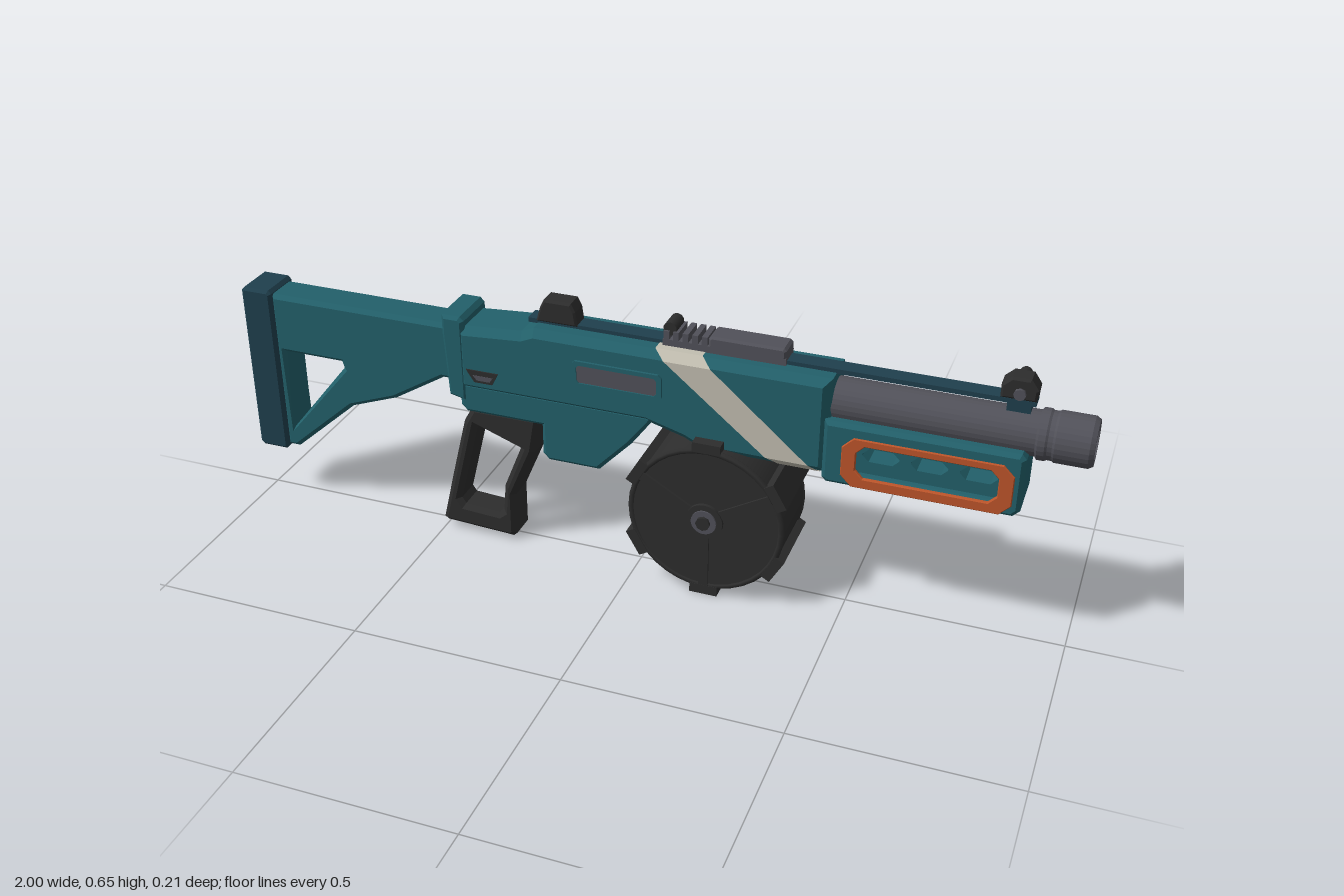
import * as THREE from 'three';

const mat = (name, color, side = THREE.FrontSide) => {
  const m = new THREE.MeshStandardMaterial({ color, side });
  m.name = name;
  return m;
};

export function createModel() {
  const root = new THREE.Group();
  const teal = mat('teal', 0x22606a), navy = mat('navy', 0x1f3f4d), black = mat('black', 0x2d2d2d);
  const steel = mat('steel', 0x515159), orange = mat('orange', 0xbd552a);
  const cream = mat('cream', 0xc2beb0, THREE.DoubleSide);

  const add = (name, geo, material, x = 0, y = 0, z = 0) => {
    const m = new THREE.Mesh(geo, material);
    m.name = name;
    m.position.set(x, y, z);
    root.add(m);
    return m;
  };
  // box given by its x, y and z ranges
  const box = (name, material, x0, x1, y0, y1, z0, z1) =>
    add(name, new THREE.BoxGeometry(x1 - x0, y1 - y0, z1 - z0), material, (x0 + x1) / 2, (y0 + y1) / 2, (z0 + z1) / 2);
  // side outline extruded from z0 to z1 with chamfered rims
  const slab = (name, material, pts, z0, z1, bevel = 0, holes = []) => {
    const v = (list) => list.map(([x, y]) => new THREE.Vector2(x, y));
    const shape = new THREE.Shape(v(pts));
    holes.forEach((h) => shape.holes.push(new THREE.Path(v(h))));
    const geo = new THREE.ExtrudeGeometry(shape, {
      depth: z1 - z0 - 2 * bevel, bevelEnabled: bevel > 0, bevelSize: bevel,
      bevelThickness: bevel, bevelOffset: -bevel, bevelSegments: 1,
    });
    return add(name, geo, material, 0, 0, z0 + bevel);
  };
  // rectangle with cut corners
  const cutRect = (x0, x1, y0, y1, c) => [
    [x0 + c, y0], [x1 - c, y0], [x1, y0 + c], [x1, y1 - c],
    [x1 - c, y1], [x0 + c, y1], [x0, y1 - c], [x0, y0 + c]];
  // disc with its axis along z
  const disc = (name, material, r, x, y, z, depth, sides = 24) => {
    const m = add(name, new THREE.CylinderGeometry(r, r, depth, sides), material, x, y, z);
    m.rotation.x = Math.PI / 2;
    return m;
  };

  // Stock
  slab('buttPad', navy, cutRect(-1, -0.92, 0.14, 0.572, 0.008), -0.053, 0.053, 0.007);
  slab('stock', teal, [[-0.925, 0.15], [-0.895, 0.15], [-0.73, 0.295], [-0.61, 0.34], [-0.48, 0.42],
    [-0.44, 0.42], [-0.44, 0.562], [-0.925, 0.562]], -0.046, 0.046, 0.01,
  [[[-0.9, 0.205], [-0.745, 0.395], [-0.75, 0.412], [-0.9, 0.412]]]);
  slab('stockCollar', teal, [[-0.465, 0.545], [-0.455, 0.39], [-0.41, 0.38], [-0.41, 0.585], [-0.42, 0.595], [-0.465, 0.595]],
    -0.064, 0.064, 0.008);

  // Receiver
  slab('upperReceiver', teal, [[-0.43, 0.41], [0.03, 0.41], [0.12, 0.385], [0.16, 0.365], [0.45, 0.365],
    [0.45, 0.595], [-0.24, 0.595], [-0.27, 0.582], [-0.43, 0.57]], -0.066, 0.066, 0.018);
  slab('lowerReceiver', teal, [[-0.43, 0.365], [-0.415, 0.35], [-0.225, 0.35], [-0.225, 0.275], [-0.21, 0.26],
    [-0.085, 0.26], [-0.005, 0.345], [0.05, 0.42], [0.05, 0.43], [-0.43, 0.43]], -0.06, 0.06, 0.01,
  [[[-0.2, 0.28], [-0.105, 0.28], [-0.085, 0.3], [-0.085, 0.36], [-0.2, 0.36]]]);
  slab('trigger', black, [[-0.168, 0.365], [-0.14, 0.365], [-0.145, 0.335], [-0.16, 0.305], [-0.166, 0.31], [-0.157, 0.335]],
    -0.012, 0.012);
  slab('portFrame', teal, cutRect(-0.142, 0.072, 0.478, 0.542, 0.008), 0.06, 0.072, 0, [cutRect(-0.13, 0.06, 0.488, 0.532, 0.006)]);
  slab('ejectionPort', steel, cutRect(-0.13, 0.06, 0.488, 0.532, 0.006), 0.06, 0.069);
  slab('releaseSurround', black, cutRect(-0.155, -0.065, 0.428, 0.47, 0.008), -0.07, -0.062);
  slab('releaseButton', orange, cutRect(-0.145, -0.075, 0.436, 0.462, 0.005), -0.074, -0.066);
  for (const s of [1, -1]) {
    slab('receiverSlot', black, [[-0.385, 0.44], [-0.34, 0.44], [-0.325, 0.47], [-0.405, 0.47]], s * 0.066 - 0.003, s * 0.066 + 0.003);
    slab('receiverSlotInset', steel, [[-0.378, 0.446], [-0.346, 0.446], [-0.338, 0.458], [-0.388, 0.458]],
      s * 0.068 - 0.002, s * 0.068 + 0.002);
  }

  // Slanted stripe wrapped round the receiver section
  const ring = [[0.363, 0.049], [0.383, 0.068], [0.577, 0.068], [0.597, 0.049],
    [0.597, -0.049], [0.577, -0.068], [0.383, -0.068], [0.363, -0.049]];
  const pos = [];
  ring.forEach(([y, z], i) => {
    const [y2, z2] = ring[(i + 1) % ring.length];
    const at = (h, k) => 0.05 + (0.597 - h) * 1.23 + k * (0.095 + (h - 0.36) * 0.06);
    const a = [at(y, 0), y, z], b = [at(y, 1), y, z], c = [at(y2, 1), y2, z2], d = [at(y2, 0), y2, z2];
    pos.push(...a, ...b, ...c, ...a, ...c, ...d);
  });
  const stripe = new THREE.BufferGeometry();
  stripe.setAttribute('position', new THREE.Float32BufferAttribute(pos, 3));
  stripe.computeVertexNormals();
  add('stripe', stripe, cream);

  // Grip
  slab('grip', black, [[-0.505, 0.025], [-0.495, 0.018], [-0.32, 0.01], [-0.31, 0.02], [-0.31, 0.13], [-0.255, 0.26],
    [-0.24, 0.355], [-0.41, 0.355], [-0.435, 0.31], [-0.475, 0.15]], -0.042, 0.042, 0.012,
  [[[-0.455, 0.09], [-0.445, 0.075], [-0.355, 0.07], [-0.343, 0.08], [-0.337, 0.15], [-0.283, 0.285], [-0.285, 0.335], [-0.38, 0.335], [-0.4, 0.31]]]);

  // Drum magazine
  const dx = 0.185, dy = 0.203;
  disc('drum', black, 0.183, dx, dy, 0, 0.176, 36);
  for (let i = 0; i < 6; i++) {
    const a = Math.PI / 6 + i * Math.PI / 3;
    const tab = add('drumTab', new THREE.BoxGeometry(0.024, 0.066, 0.184), black, dx + 0.188 * Math.cos(a), dy + 0.188 * Math.sin(a), 0);
    tab.rotation.z = a;
  }
  for (const s of [1, -1]) {
    add('drumRim', new THREE.TorusGeometry(0.178, 0.008, 6, 36), black, dx, dy, s * 0.084);
    for (let i = 0; i < 3; i++) {
      const a = Math.PI / 6 + i * Math.PI * 2 / 3;
      const spoke = add('drumSpoke', new THREE.BoxGeometry(0.15, 0.022, 0.008), black, dx + 0.1 * Math.cos(a), dy + 0.1 * Math.sin(a), s * 0.089);
      spoke.rotation.z = a;
    }
    disc('drumHub', black, 0.044, dx, dy, s * 0.09, 0.012);
    disc('drumHubCap', steel, 0.03, dx, dy, s * 0.094, 0.012);
    disc('drumBolt', black, 0.017, dx, dy, s * 0.098, 0.018, 8);
  }

  // Barrel and hollow muzzle
  const profile = [[0.05, 0.43], [0.05, 0.88], [0.056, 0.885], [0.056, 0.9], [0.053, 0.905], [0.053, 0.915], [0.056, 0.92],
    [0.056, 0.99], [0.05, 1], [0.036, 1], [0.036, 0.94]].map(([r, x]) => new THREE.Vector2(r, x));
  const barrelGeo = new THREE.LatheGeometry(profile, 28).toNonIndexed();
  barrelGeo.computeVertexNormals();
  add('barrel', barrelGeo, steel, 0, 0.524, 0).rotation.z = -Math.PI / 2;
  const bore = add('boreEnd', new THREE.CircleGeometry(0.037, 28), teal, 0.945, 0.524, 0);
  bore.rotation.y = Math.PI / 2;

  // Forearm with windows, framed on both sides
  slab('forearm', teal, [[0.44, 0.36], [0.45, 0.35], [0.855, 0.35], [0.87, 0.365], [0.87, 0.49], [0.86, 0.502], [0.44, 0.502]],
    -0.07, 0.07, 0.009, [cutRect(0.505, 0.83, 0.38, 0.455, 0.015)]);
  const slots = [0.525, 0.63, 0.735].map((x) => cutRect(x, x + 0.08, 0.41, 0.442, 0.014));
  slab('windowPanel', teal, cutRect(0.5, 0.835, 0.375, 0.46, 0.01), -0.05, 0.05, 0, slots);
  for (const s of [1, -1]) {
    slab('windowFrame', orange, cutRect(0.483, 0.852, 0.354, 0.474, 0.025), s * 0.069 - 0.005, s * 0.069 + 0.005, 0.002,
      [cutRect(0.515, 0.82, 0.378, 0.457, 0.018)]);
  }
  box('lowerRail', navy, 0.5, 0.85, 0.346, 0.355, -0.02, 0.02);
  for (let i = 0; i < 9; i++) box('lowerRailTooth', navy, 0.505 + i * 0.04, 0.527 + i * 0.04, 0.338, 0.35, -0.022, 0.022);

  // Top rib, accessory rail and sights
  box('topRib', navy, -0.265, 0.87, 0.593, 0.604, -0.02, 0.02);
  box('ribPost', navy, 0.81, 0.86, 0.56, 0.595, -0.014, 0.014);
  box('railBase', steel, 0.06, 0.34, 0.596, 0.612, -0.03, 0.03);
  slab('railCover', steel, cutRect(0.165, 0.34, 0.605, 0.635, 0.006), -0.03, 0.03, 0.005);
  for (let i = 0; i < 5; i++) box('railTooth', steel, 0.062 + i * 0.022, 0.075 + i * 0.022, 0.61, 0.632, -0.03, 0.03);
  disc('railKnob', black, 0.016, 0.075, 0.636, 0, 0.05, 10);
  slab('rearSight', black, [[-0.245, 0.6], [-0.145, 0.6], [-0.15, 0.635], [-0.16, 0.655], [-0.225, 0.655], [-0.235, 0.635]], -0.025, 0.025, 0.005);
  slab('frontSight', black, [[0.795, 0.604], [0.87, 0.604], [0.872, 0.63], [0.855, 0.654], [0.815, 0.654], [0.795, 0.635]], -0.024, 0.024, 0.005);
  disc('sightBolt', steel, 0.013, 0.835, 0.62, 0, 0.064, 8);
  disc('sightKnob', black, 0.013, 0.835, 0.637, -0.034, 0.024, 10);

  return root;
}
